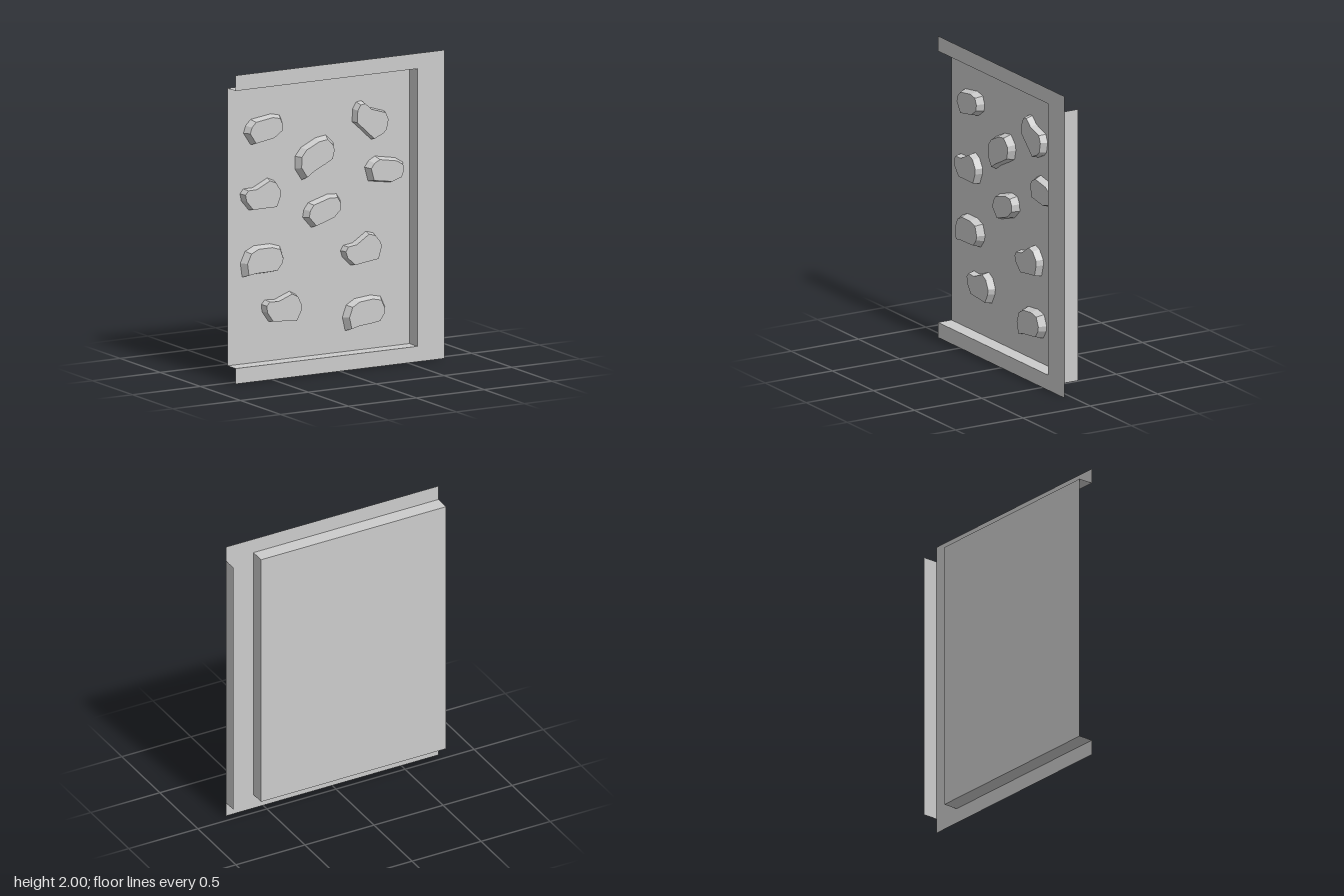
import * as THREE from 'three';

const metal = new THREE.MeshStandardMaterial({ color: 0xcccccc, side: THREE.DoubleSide, flatShading: true });
const stone = new THREE.MeshStandardMaterial({ color: 0xcccccc, flatShading: true });

const W = 0.77, INNER = 0.57, LOW = 0.1, HIGH = 1.9, Z = 0.05;

// Outlines of the three kinds of hold, around their own centres
const outlines = {
  kidney: [[-.138, -.106], [-.159, -.016], [-.13, .06], [-.07, .095], [.048, .106], [.122, .09],
    [.154, .02], [.148, -.016], [.111, -.07], [.037, -.08], [-.07, -.09]],
  bean: [[-.09, -.09], [-.143, -.01], [-.127, .037], [-.09, .074], [.058, .095], [.122, .08],
    [.143, .032], [.138, -.016], [.069, -.064], [-.026, -.08]],
  peak: [[-.148, .042], [-.122, .069], [-.053, .064], [.058, .106], [.106, .08], [.138, .016],
    [.132, -.021], [.095, -.09], [-.01, -.08], [-.095, -.074], [-.143, -.005]],
};
const taper = { kidney: 0.84, bean: 0.84, peak: 0.91 };

// kind, x, y, turn in degrees
const holds = [
  ['bean', -0.51, 1.605, 0], ['peak', 0.268, 1.584, -38],
  ['kidney', -0.13, 1.393, 20], ['bean', 0.379, 1.245, -18],
  ['peak', -0.527, 1.176, 5], ['bean', -0.077, 1.033, 8],
  ['kidney', -0.516, 0.757, -5], ['peak', 0.215, 0.747, 12],
  ['peak', -0.373, 0.429, 0], ['kidney', 0.235, 0.34, 0],
];

const toShape = (pts) => new THREE.Shape(pts.map(([x, y]) => new THREE.Vector2(x, y)));

// Prism whose front face is smaller than its base
function holdGeometry(kind) {
  const depth = 0.047;
  const geo = new THREE.ExtrudeGeometry(toShape(outlines[kind]), { depth, bevelEnabled: false });
  const p = geo.attributes.position;
  for (let i = 0; i < p.count; i++) {
    if (p.getZ(i) > depth / 2) p.setXY(i, p.getX(i) * taper[kind], p.getY(i) * taper[kind]);
  }
  geo.computeVertexNormals();
  return geo;
}

export function createModel() {
  const group = new THREE.Group();
  const add = (name, geo, mat, x, y, z) => {
    const mesh = new THREE.Mesh(geo, mat);
    mesh.name = name;
    mesh.position.set(x, y, z);
    group.add(mesh);
    return mesh;
  };

  // Front flange, open on one side
  const flange = toShape([[-W, 0], [W, 0], [W, 2], [-W, 2], [-W, HIGH], [INNER, HIGH], [INNER, LOW], [-W, LOW]]);
  add('flange', new THREE.ShapeGeometry(flange), metal, 0, 0, Z);

  // Recessed panel and its walls
  const width = W + INNER, height = HIGH - LOW, midX = (INNER - W) / 2;
  add('recessedPanel', new THREE.PlaneGeometry(width, height), metal, midX, 1, -Z);
  for (const [name, y, turn] of [['topWall', HIGH, -1], ['bottomWall', LOW, 1]]) {
    add(name, new THREE.PlaneGeometry(width, 2 * Z), metal, midX, y, 0).rotation.x = turn * -Math.PI / 2;
  }

  // Inner side wall and the folded lip on the outer edge
  for (const [name, x, turn] of [['sideWall', INNER, -1], ['foldedLip', W, 1]]) {
    add(name, new THREE.PlaneGeometry(2 * Z, height), metal, x, 1, 0).rotation.y = turn * Math.PI / 2;
  }

  // Climbing holds on the panel
  const geometries = {};
  for (const kind in outlines) geometries[kind] = holdGeometry(kind);
  holds.forEach(([kind, x, y, turn], i) => {
    add(`hold${i + 1}`, geometries[kind], stone, x, y, -Z).rotation.z = THREE.MathUtils.degToRad(turn);
  });
  return group;
}
